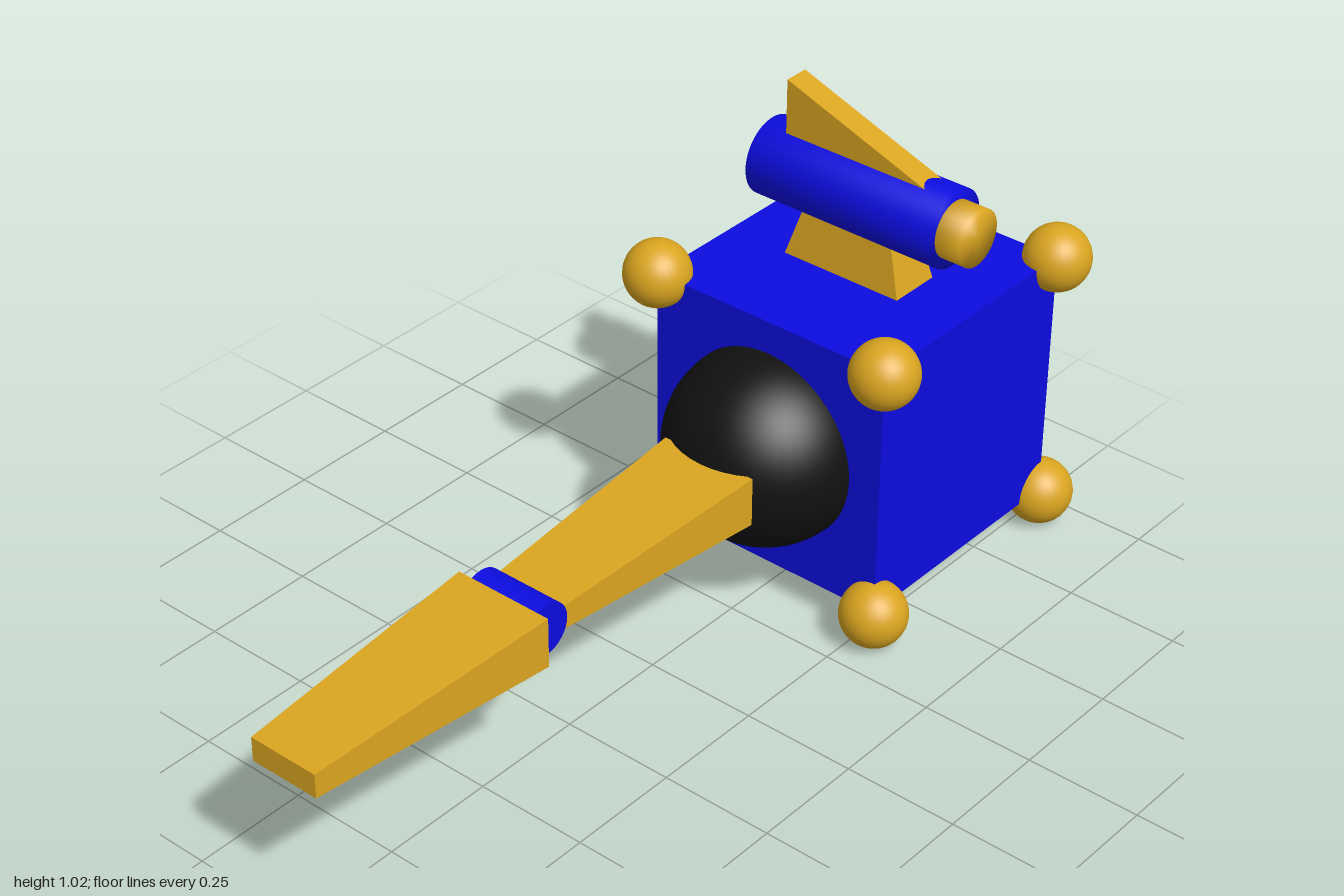
import * as THREE from 'three';

const mat = (name, color) => Object.assign(new THREE.MeshStandardMaterial({ color }), { name });

// Box along an axis whose cross-section differs at its two ends.
// a and b are half sizes [first, second] of the other two axes at the low and high end.
function taperedBox(axis, low, high, a, b) {
  const geo = new THREE.BoxGeometry(2, 2, 2);
  const pos = geo.attributes.position;
  const others = [0, 1, 2].filter((i) => i !== axis);
  for (let i = 0; i < pos.count; i++) {
    const isHigh = pos.getComponent(i, axis) > 0;
    const half = isHigh ? b : a;
    others.forEach((o, k) => pos.setComponent(i, o, pos.getComponent(i, o) * half[k]));
    pos.setComponent(i, axis, isHigh ? high : low);
  }
  geo.computeVertexNormals();
  return geo;
}

// Solid cylinder along z with softly shaded rims
function softCylinder(radius, back, front) {
  const profile = [[0, back], [radius, back], [radius, front], [0, front]];
  const geo = new THREE.LatheGeometry(profile.map(([r, h]) => new THREE.Vector2(r, h)), 48);
  return geo.rotateX(Math.PI / 2);
}

export function createModel() {
  const model = new THREE.Group();
  model.name = 'boxRobot';
  const blue = mat('blue', 0x0c0ce0);
  const gold = mat('gold', 0xdaa520);
  const black = mat('black', 0x111111);

  const add = (parent, name, geo, material, x = 0, y = 0, z = 0) => {
    const mesh = new THREE.Mesh(geo, material);
    mesh.name = name;
    mesh.position.set(x, y, z);
    parent.add(mesh);
    return mesh;
  };

  const cx = 0.638, cy = 0.361, half = 0.288;

  // Cube body with a ball on every corner
  add(model, 'body', new THREE.BoxGeometry(half * 2, half * 2, half * 2), blue, cx, cy, 0);
  const ball = new THREE.SphereGeometry(0.072, 32, 24);
  for (const sx of [-1, 1])
    for (const sy of [-1, 1])
      for (const sz of [-1, 1])
        add(model, 'cornerBall', ball, gold, cx + sx * half, cy + sy * half, sz * half);

  // Shoulder dome and two-part arm
  const arm = new THREE.Group();
  arm.name = 'arm';
  arm.position.y = 0.363;
  model.add(arm);
  add(arm, 'shoulder', new THREE.SphereGeometry(0.213, 48, 32), black, cx - half, 0, 0);
  add(arm, 'upperArm', taperedBox(0, -0.35, 0.17, [0.027, 0.083], [0.055, 0.112]), gold);
  const joint = new THREE.CylinderGeometry(0.057, 0.057, 0.168, 32).rotateX(Math.PI / 2);
  add(arm, 'elbow', joint, blue, -0.4, 0, 0);
  add(arm, 'forearm', taperedBox(0, -1, -0.427, [0.027, 0.08], [0.056, 0.113]), gold);

  // Turret: pedestal, barrel, lens and fin
  const turret = new THREE.Group();
  turret.name = 'turret';
  turret.position.x = cx;
  model.add(turret);
  add(turret, 'pedestal', taperedBox(1, 0.649, 0.75, [0.059, 0.143], [0.045, 0.113]), gold);
  add(turret, 'barrel', softCylinder(0.085, -0.229, 0.229), blue, 0, 0.822, 0);
  add(turret, 'lens', softCylinder(0.062, 0.2, 0.288), gold, 0, 0.822, 0);

  const wedge = new THREE.Shape([[-0.18, 0.9], [0.172, 0.9], [0.172, 1.023]]
    .map(([x, y]) => new THREE.Vector2(x, y)));
  const fin = new THREE.ExtrudeGeometry(wedge, { depth: 0.056, bevelEnabled: false });
  // Shape's x runs towards the back
  fin.translate(0, 0, -0.028).rotateY(Math.PI / 2);
  add(turret, 'fin', fin, gold);

  return model;
}
